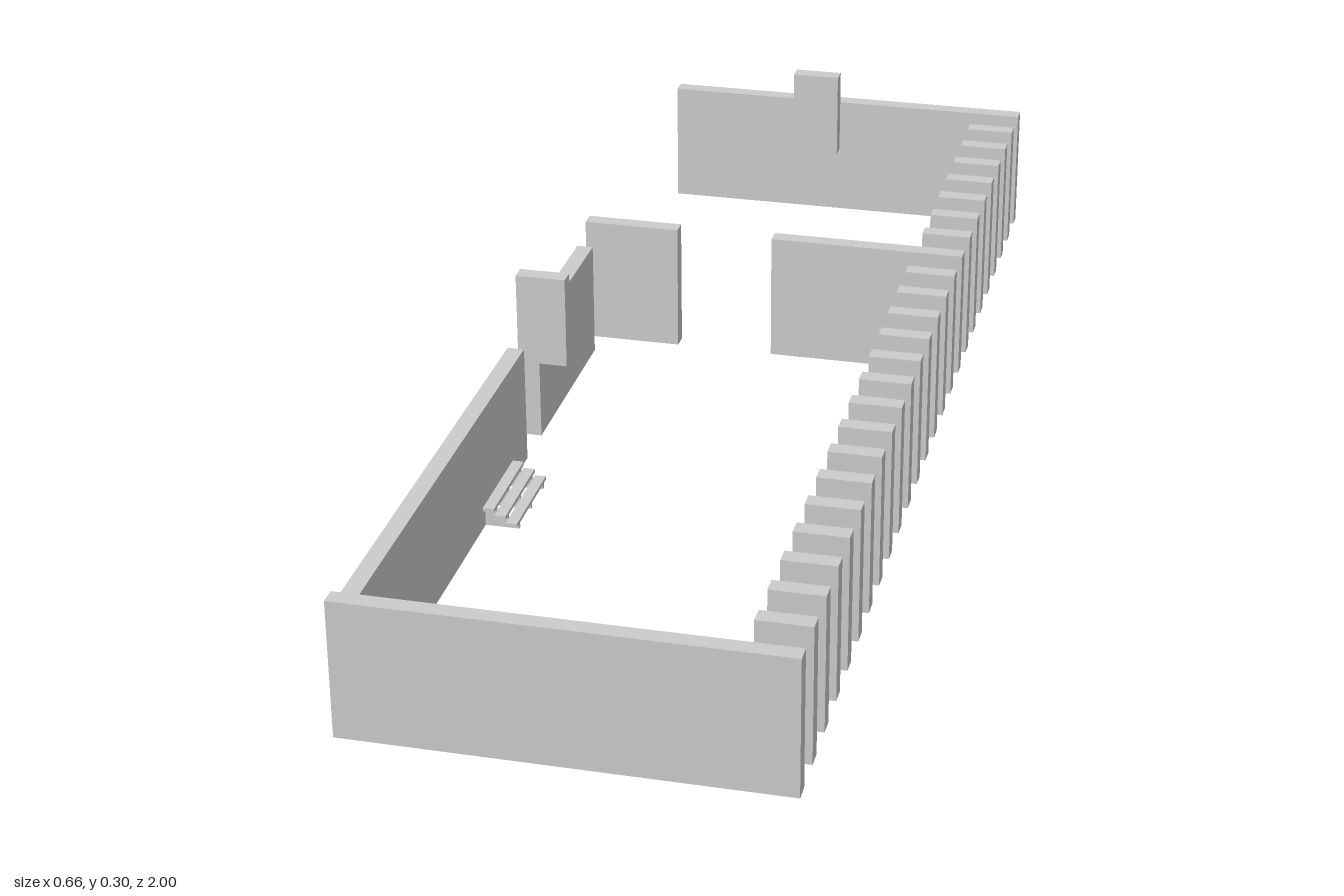
import * as THREE from 'three';

export function createModel() {
  const group = new THREE.Group();
  const mat = new THREE.MeshStandardMaterial({ color: 0xcccccc, flatShading: true });

  // box given by its limits on each axis
  const box = (name, x0, x1, y0, y1, z0, z1, parent = group) => {
    const mesh = new THREE.Mesh(new THREE.BoxGeometry(x1 - x0, y1 - y0, z1 - z0), mat);
    mesh.position.set((x0 + x1) / 2, (y0 + y1) / 2, (z0 + z1) / 2);
    mesh.name = name;
    parent.add(mesh);
  };

  const W = 0.328, H = 0.217, T = 0.027;
  const STEP = (2 - T) / 24;
  const rowZ = k => -1 + T / 2 + k * STEP;
  const across = (name, x0, x1, y0, y1, k) => box(name, x0, x1, y0, y1, rowZ(k) - T / 2, rowZ(k) + T / 2);

  // walls across the width
  across('backWall', -W, W, 0, H, 0);
  across('frontWall', -W, W, 0, H, 24);
  across('middleWallLeft', 0, W, 0, H, 8);
  across('middleWallRight', -W, -0.165, 0, H, 8);

  // lower walls along the side
  box('sideWallLong', -W, -W + T, 0, 0.195, 0.15, 1 - T);
  box('sideWallShort', -W, -W + T, 0, 0.195, -0.262, 0.069);

  // row of fins on the open side
  for (let k = 1; k < 24; k++) {
    if (k !== 8) across('fin' + k, 0.246, W, 0, H, k);
  }

  // raised panels
  across('sidePanel', -W, -0.247, 0.145, 0.297, 13);
  across('backPanel', -0.083, 0, 0.145, 0.297, 1);

  // small stepped bench against the long wall
  const bench = new THREE.Group();
  bench.name = 'bench';
  group.add(bench);
  const z0 = 0.229, z1 = 0.39, d = 0.018;
  for (let i = 0; i < 3; i++) {
    const x = -W + T + i * d, top = 0.036 - i * 0.011;
    box('benchTread' + i, x, x + d, top - 0.006, top, z0, z1, bench);
    for (const z of [z0 + 0.015, (z0 + z1) / 2, z1 - 0.015]) {
      box('benchSupport', x, x + d, 0, top - 0.006, z - 0.003, z + 0.003, bench);
    }
  }
  return group;
}
